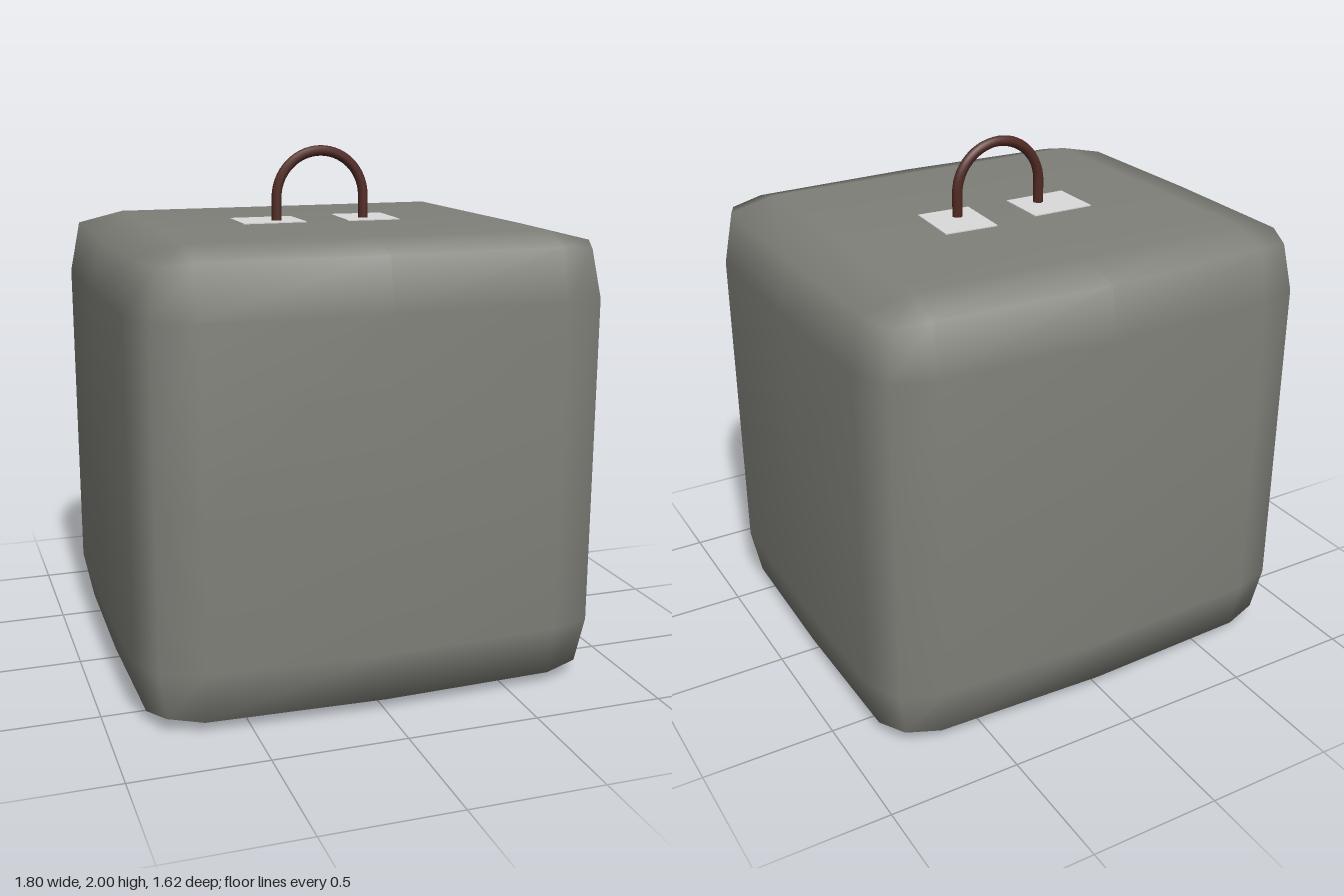
import * as THREE from 'three';
import { mergeVertices } from 'three/addons/utils/BufferGeometryUtils.js';

const material = (name, color) => Object.assign(new THREE.MeshStandardMaterial({ color }), { name });

// Soft block: a 4x4x4 cage whose edges and corners are pulled inwards
function blockGeometry() {
  let geo = new THREE.BoxGeometry(4, 4, 4, 4, 4, 4);
  geo.deleteAttribute('normal');
  geo.deleteAttribute('uv');
  geo = mergeVertices(geo);
  const p = geo.attributes.position;
  const inner = [0.67, 0.62, 0.59];   // inset grid lines
  const face = [0.9, 0.857, 0.81];    // outermost face planes
  for (let v = 0; v < p.count; v++) {
    const g = [p.getX(v), p.getY(v), p.getZ(v)].map(Math.round);
    const extremes = g.filter((c) => Math.abs(c) === 2).length;
    const upright = Math.abs(g[1]) !== 2;
    const out = g.map((c, axis) => {
      if (Math.abs(c) < 2) return c * inner[axis];
      let r = face[axis];
      if (axis === 1) r -= [0, 0, 0.042, 0.06][extremes];
      else {
        const across = Math.abs(g[2 - axis]);
        r -= extremes === 3 ? 0.1 : extremes === 2 ? (upright ? 0.073 : 0.04) : 0;
        if (across === 1) r -= axis === 0 ? 0.01 : 0.025; // slight belly
      }
      return Math.sign(c) * r;
    });
    p.setXYZ(v, out[0], out[1] + 0.857, out[2]);
  }
  geo.computeVertexNormals();
  return geo;
}

// Hoop: two straight legs joined by a half circle
function handleGeometry() {
  const r = 0.176, base = 1.69, spring = 1.804;
  const path = new THREE.CurvePath();
  const V = (x, y) => new THREE.Vector3(x, y, 0);
  class Arch extends THREE.Curve {
    getPoint(t, target = new THREE.Vector3()) {
      const a = Math.PI * (1 - t);
      return target.set(r * Math.cos(a), spring + r * Math.sin(a), 0);
    }
  }
  path.add(new THREE.LineCurve3(V(-r, base), V(-r, spring)));
  path.add(new Arch());
  path.add(new THREE.LineCurve3(V(r, spring), V(r, base)));
  return new THREE.TubeGeometry(path, 40, 0.02, 8);
}

export function createModel() {
  const group = new THREE.Group();
  const stone = material('stone grey', 0x80807a);
  const plate = material('pale grey', 0xdadada);
  const rust = material('dark rust', 0x522a24);

  const add = (name, geometry, mat) => {
    const mesh = new THREE.Mesh(geometry, mat);
    mesh.name = name;
    group.add(mesh);
    return mesh;
  };

  add('block', blockGeometry(), stone);
  add('handle', handleGeometry(), rust);

  // Fixing plates under the handle legs
  const right = add('rightPlate', new THREE.BoxGeometry(0.25, 0.006, 0.21), plate);
  right.position.set(-0.203, 1.715, -0.033);
  const left = add('leftPlate', new THREE.BoxGeometry(0.21, 0.006, 0.243), plate);
  left.position.set(0.197, 1.715, -0.037);
  left.rotation.y = -0.045;

  return group;
}
